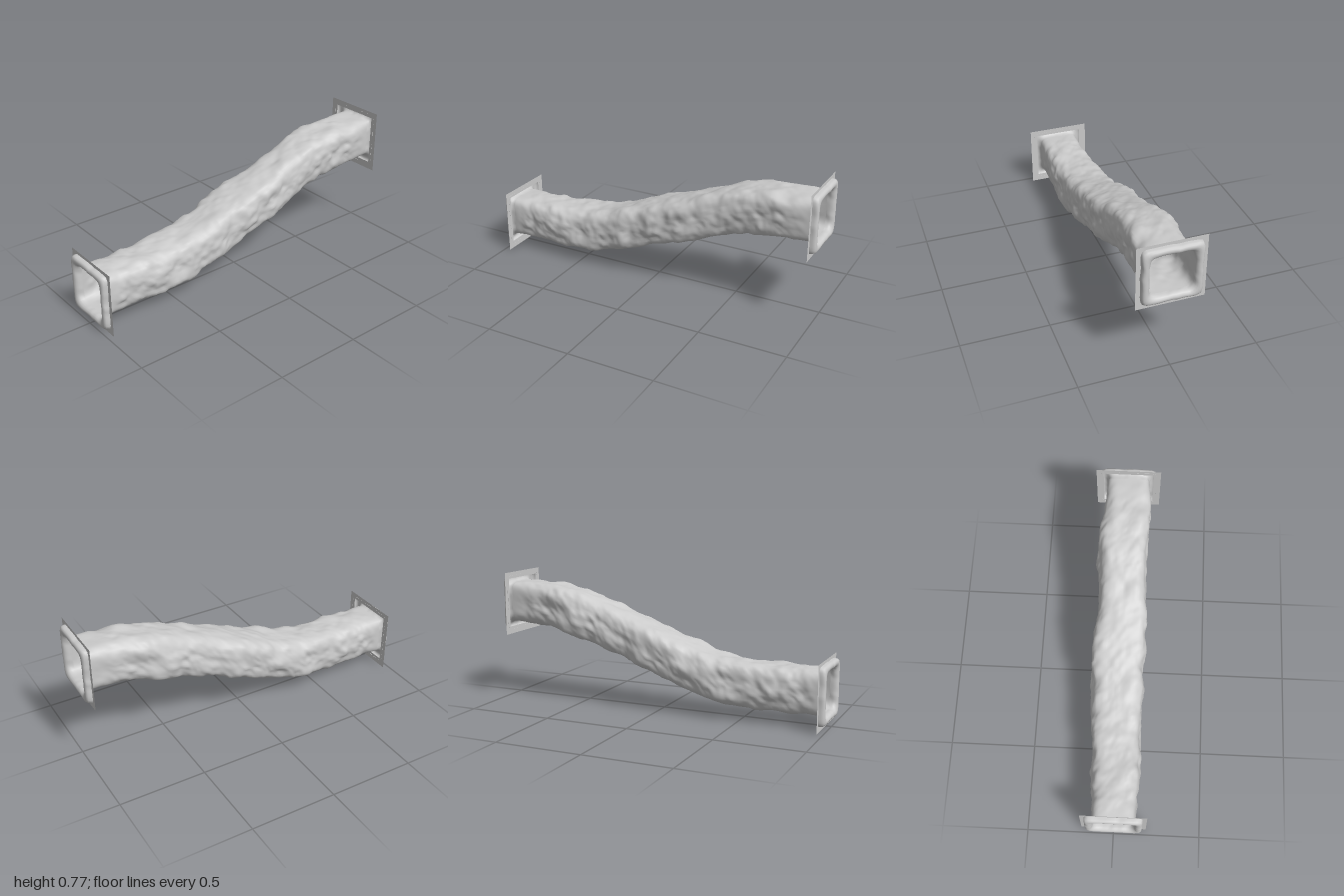
import * as THREE from 'three';

const rock = new THREE.MeshStandardMaterial({ color: 0xcccccc, side: THREE.DoubleSide });
const AROUND = 72;

// Smooth seeded value noise in the range -1..1
function hash(i, j, k) {
  const s = Math.sin(i * 127.1 + j * 311.7 + k * 74.7) * 43758.5453;
  return (s - Math.floor(s)) * 2 - 1;
}
function noise(x, y, z) {
  const f = [x, y, z].map(Math.floor);
  const [u, v, w] = [x, y, z].map((a, n) => THREE.MathUtils.smoothstep(a - f[n], 0, 1));
  let sum = 0;
  for (let n = 0; n < 8; n++) {
    const a = n & 1, b = (n >> 1) & 1, c = n >> 2;
    sum += hash(f[0] + a, f[1] + b, f[2] + c) * (a ? u : 1 - u) * (b ? v : 1 - v) * (c ? w : 1 - w);
  }
  return sum;
}

// Rounded-square radius in direction (c, s); larger n is squarer
const squircle = (c, s, n) => Math.pow(Math.abs(c) ** n + Math.abs(s) ** n, -1 / n);

// Joins closed rings of points, pointAt(ring, angle) -> [x, y, z]
function loft(rings, pointAt) {
  const pos = [], index = [];
  for (let i = 0; i < rings; i++) {
    for (let j = 0; j < AROUND; j++) {
      pos.push(...pointAt(i, (j / AROUND) * Math.PI * 2));
      if (i === rings - 1) continue;
      const a = i * AROUND + j, b = i * AROUND + (j + 1) % AROUND;
      index.push(a, a + AROUND, b, b, a + AROUND, b + AROUND);
    }
  }
  const g = new THREE.BufferGeometry();
  g.setAttribute('position', new THREE.Float32BufferAttribute(pos, 3));
  g.setIndex(index);
  g.computeVertexNormals();
  return g;
}

// Tunnel cross-sections: z, bottom, top, right side, left side
const SECTIONS = [
  [0.96, 0.073, 0.315, -0.122, 0.122], [0.8, 0.075, 0.32, -0.133, 0.135],
  [0.6, 0.07, 0.323, -0.138, 0.137], [0.4, 0.088, 0.342, -0.15, 0.13],
  [0.2, 0.142, 0.4, -0.16, 0.137], [0, 0.217, 0.472, -0.168, 0.138],
  [-0.2, 0.287, 0.543, -0.147, 0.14], [-0.4, 0.362, 0.617, -0.15, 0.13],
  [-0.57, 0.41, 0.672, -0.16, 0.125], [-0.75, 0.444, 0.7, -0.135, 0.138],
  [-0.96, 0.463, 0.703, -0.122, 0.122],
];
const spine = new THREE.CatmullRomCurve3(SECTIONS.map(s => new THREE.Vector3((s[3] + s[4]) / 2, (s[1] + s[2]) / 2, s[0])));
const sizes = new THREE.CatmullRomCurve3(SECTIONS.map(s => new THREE.Vector3((s[4] - s[3]) / 2, (s[2] - s[1]) / 2, 0)));

function tunnelGeometry() {
  const rings = 170;
  return loft(rings, (i, t) => {
    const k = i / (rings - 1);
    const p = spine.getPoint(k), h = sizes.getPoint(k);
    const c = Math.cos(t), s = Math.sin(t);
    const fade = Math.min(1, Math.min(k, 1 - k) * 14);
    const r = squircle(c, s, 6 - 1.6 * fade);
    const x = p.x + h.x * c * r, y = p.y + h.y * s * r;
    // Broad dents plus finer chips; the flanks are rougher than roof and floor
    const n = 0.014 * noise(x * 13, (y - p.y) * 13, p.z * 10)
      + 0.008 * noise(x * 28 + 9, (y - p.y) * 28, p.z * 22)
      + 0.003 * noise(x * 60, (y - p.y) * 60 + 5, p.z * 45);
    const push = n * fade * (0.5 + 0.5 * Math.abs(c));
    // Upper corners lean inward
    const lean = 1 - 0.07 * fade * Math.max(0, s * r);
    return [p.x + (x - p.x) * lean + push * c, y + push * s, p.z];
  });
}

// Rolled mouth lip: [half width, z, squareness]
const LIP = [
  [0.121, 0.955, 6], [0.12, 0.97, 6], [0.122, 0.982, 6], [0.127, 0.992, 7], [0.136, 0.999, 8],
  [0.146, 1.0, 9], [0.155, 0.997, 11], [0.161, 0.99, 13], [0.163, 0.98, 15], [0.164, 0.966, 16],
];
function lipGeometry() {
  return loft(LIP.length, (i, t) => {
    const [half, z, n] = LIP[i];
    const c = Math.cos(t), s = Math.sin(t);
    const r = half * squircle(c, s, n) + (i ? 0.004 * noise(c * 5, s * 5, i * 0.15) : 0);
    return [c * r, s * r, i && z < 0.995 ? z + 0.001 * noise(c * 7, s * 7, 3) : z];
  });
}

// Thin square plate with a square opening
function plateGeometry() {
  const square = (h, y) => [[-h, y - h], [h, y - h], [h, y + h], [-h, y + h]].map(p => new THREE.Vector2(...p));
  const shape = new THREE.Shape(square(0.188, 0));
  shape.holes.push(new THREE.Path(square(0.147, 0.004)));
  return new THREE.ShapeGeometry(shape);
}

export function createModel() {
  const model = new THREE.Group();
  model.name = 'rockTunnel';
  const add = (parent, name, geometry) => {
    const mesh = new THREE.Mesh(geometry, rock);
    mesh.name = name;
    parent.add(mesh);
    return mesh;
  };

  add(model, 'tunnelWall', tunnelGeometry());

  // The same mouth at both ends, the rear one turned round and higher
  const lip = lipGeometry(), plate = plateGeometry();
  [['frontMouth', 0.188, 0], ['rearMouth', 0.578, Math.PI]].forEach(([name, y, turn]) => {
    const mouth = new THREE.Group();
    mouth.name = name;
    mouth.position.y = y;
    mouth.rotation.y = turn;
    add(mouth, 'mouthLip', lip).position.y = 0.005;
    add(mouth, 'mouthPlate', plate).position.z = 0.967;
    model.add(mouth);
  });
  return model;
}
